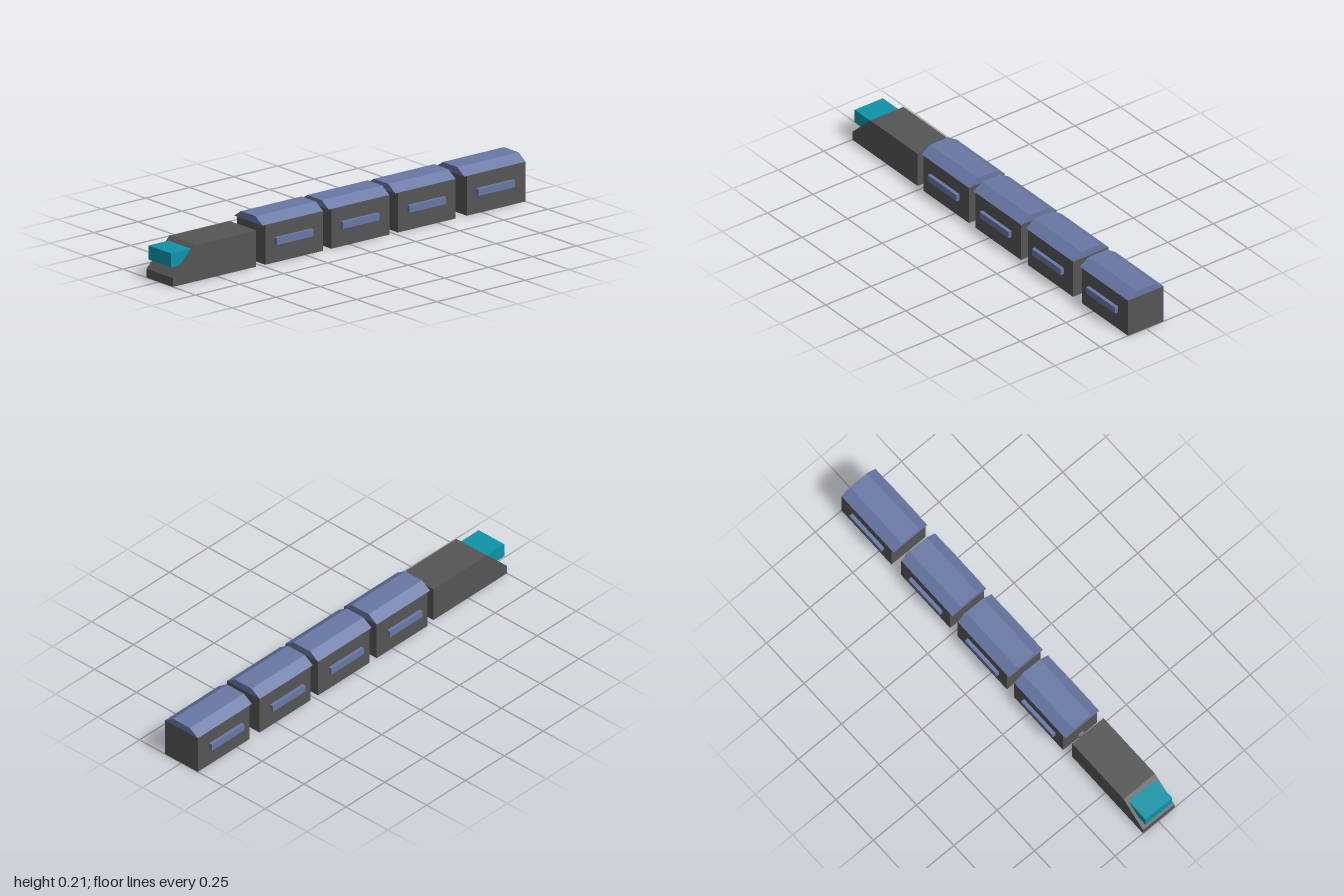
import * as THREE from 'three';

const mat = (color) => new THREE.MeshStandardMaterial({ color, flatShading: true });

export function createModel() {
  const train = new THREE.Group();
  train.name = 'train';
  const dark = mat(0x555555), blue = mat(0x6878a5), teal = mat(0x0c95a8), steel = mat(0x777777);

  const add = (parent, name, geometry, material) => {
    const mesh = new THREE.Mesh(geometry, material);
    mesh.name = name;
    parent.add(mesh);
    return mesh;
  };
  // Box given by its limits on each axis
  const box = (parent, name, material, [x0, x1], [y0, y1], [z0, z1]) =>
    add(parent, name, new THREE.BoxGeometry(x1 - x0, y1 - y0, z1 - z0), material)
      .position.set((x0 + x1) / 2, (y0 + y1) / 2, (z0 + z1) / 2);
  const prism = (points, depth) => new THREE.ExtrudeGeometry(
    new THREE.Shape(points.map(([x, y]) => new THREE.Vector2(x, y))),
    { depth, bevelEnabled: false });

  // Locomotive: side profile with a sloped nose, and a box windscreen
  const loco = new THREE.Group();
  loco.name = 'locomotive';
  train.add(loco);
  const side = [[-1, 0], [-0.527, 0], [-0.527, 0.166], [-0.87, 0.166], [-1, 0.04]];
  add(loco, 'locomotiveBody', prism(side, 0.182), dark).position.z = -0.088;
  box(loco, 'windscreen', teal, [-1, -0.882], [0.086, 0.15], [-0.074, 0.081]);

  // Carriages: body, chamfered roof overhanging the front end, side windows
  const roofSection = [[-0.098, 0.182], [0.098, 0.182], [0.05, 0.214], [-0.05, 0.214]];
  const carriages = [[-0.494, -0.478, -0.151], [-0.118, -0.103, 0.226],
    [0.26, 0.275, 0.602], [0.652, 0.667, 1]];
  carriages.forEach(([roofStart, start, end], i) => {
    const car = new THREE.Group();
    car.name = `carriage${i + 1}`;
    train.add(car);
    box(car, 'carriageBody', dark, [start, end], [0, 0.182], [-0.098, 0.098]);
    const roof = prism(roofSection, end - roofStart).rotateY(Math.PI / 2);
    add(car, 'roof', roof, blue).position.x = roofStart;
    for (const s of [-1, 1]) {
      const z = s < 0 ? [-0.115, -0.09] : [0.09, 0.115];
      box(car, 'sideWindow', blue, [start + 0.051, start + 0.26], [0.084, 0.116], z);
    }
  });

  // Round couplings between the vehicles
  const couplings = [[-0.54, -0.47, 0.027, 0.003], [-0.16, -0.095, 0.027, 0.003],
    [0.22, 0.283, 0.027, -0.014], [0.59, 0.652, 0.019, -0.014]];
  for (const [x0, x1, y, z] of couplings) {
    const rod = new THREE.CylinderGeometry(0.018, 0.018, x1 - x0, 16).rotateZ(Math.PI / 2);
    add(train, 'coupling', rod, steel).position.set((x0 + x1) / 2, y, z);
  }
  return train;
}
